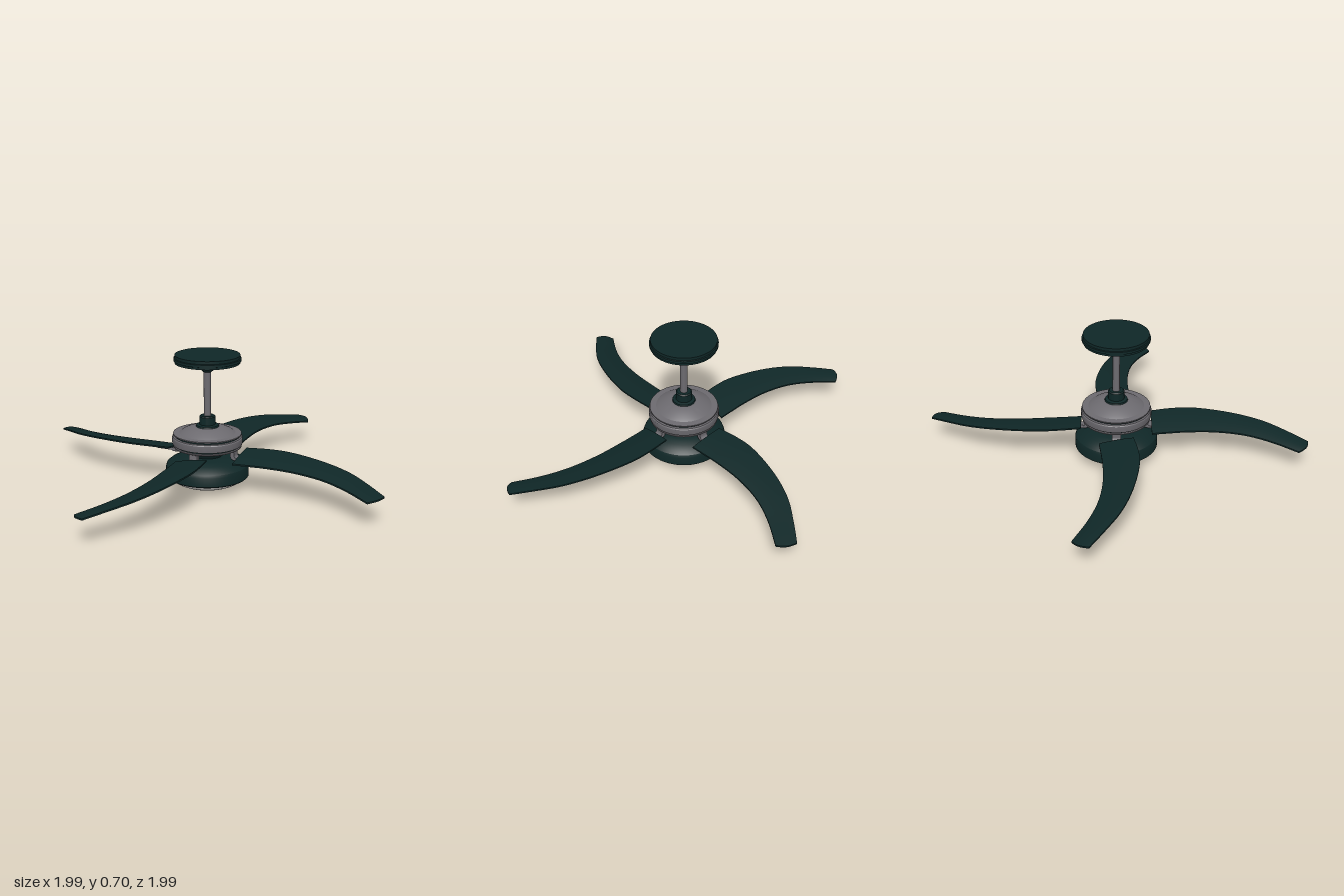
import * as THREE from 'three';
import { toCreasedNormals } from 'three/addons/utils/BufferGeometryUtils.js';

const paint = (name, color) => {
  const m = new THREE.MeshStandardMaterial({ color });
  m.name = name;
  return m;
};
const teal = paint('dark teal', 0x0f2727);
const metal = paint('grey metal', 0x6c6a6f);
const glass = paint('pale glass', 0xcbc9c6);

function mesh(name, geometry, material) {
  const m = new THREE.Mesh(geometry, material);
  m.name = name;
  return m;
}

// Turned part; profile is [radius, height] from bottom to top
function turned(name, profile, material) {
  const pts = profile.map(([r, y]) => new THREE.Vector2(r, y));
  return mesh(name, toCreasedNormals(new THREE.LatheGeometry(pts, 64), 0.5), material);
}

// Pitched, swept blade lofted between its two edge curves
function bladeGeometry() {
  const curve = (pts) => new THREE.CatmullRomCurve3(pts.map((p) => new THREE.Vector3(...p)));
  const rear = curve([[0.185, 0.203, -0.088], [0.3, 0.206, -0.108], [0.41, 0.205, -0.114], [0.62, 0.193, -0.077],
    [0.78, 0.177, -0.018], [0.9, 0.158, 0.058], [0.995, 0.14, 0.126]]);
  const front = curve([[0.185, 0.168, 0.09], [0.27, 0.169, 0.08], [0.353, 0.17, 0.072], [0.513, 0.167, 0.067],
    [0.674, 0.158, 0.088], [0.807, 0.144, 0.136], [0.936, 0.127, 0.206]]);
  const N = 28, M = 8, ring = 2 * (M + 1), pos = [], idx = [];
  for (let i = 0; i <= N; i++) {
    const t = i / N, a = rear.getPoint(t), b = front.getPoint(t);
    const tip = 0.016 * THREE.MathUtils.smoothstep(t, 0.8, 1);
    for (let k = 0; k < ring; k++) {
      const top = k <= M, v = top ? k / M : (ring - 1 - k) / M;
      const p = a.clone().lerp(b, v), s = Math.sin(Math.PI * v);
      pos.push(p.x + 0.78 * tip * s, p.y + 0.004 * s + (top ? 0.004 : -0.004), p.z + 0.62 * tip * s);
    }
  }
  for (let i = 0; i < N; i++) {
    for (let k = 0; k < ring; k++) {
      const a = i * ring + k, b = i * ring + (k + 1) % ring;
      idx.push(a, b, a + ring, b, b + ring, a + ring);
    }
  }
  // Root and tip caps
  for (let k = 0; k < M; k++) {
    const l = ring - 1 - k, e = N * ring;
    idx.push(k, l, k + 1, k + 1, l, l - 1);
    idx.push(e + k, e + k + 1, e + l, e + k + 1, e + l - 1, e + l);
  }
  const g = new THREE.BufferGeometry();
  g.setAttribute('position', new THREE.Float32BufferAttribute(pos, 3));
  g.setIndex(idx);
  return toCreasedNormals(g, 0.7);
}

// Hook that drops from the motor and turns outward
function hookGeometry() {
  const s = new THREE.Shape();
  s.moveTo(0.142, 0.225);
  s.lineTo(0.142, 0.19);
  s.quadraticCurveTo(0.142, 0.166, 0.168, 0.166);
  s.lineTo(0.195, 0.166);
  s.lineTo(0.195, 0.178);
  s.lineTo(0.178, 0.178);
  s.quadraticCurveTo(0.164, 0.18, 0.164, 0.194);
  s.lineTo(0.164, 0.225);
  const g = new THREE.ExtrudeGeometry(s, { depth: 0.046, bevelEnabled: false, curveSegments: 8 });
  return g.translate(0, 0, -0.023);
}

// Tapered plate carrying the blade from below
function plateGeometry() {
  const s = new THREE.Shape();
  s.moveTo(0, -0.024);
  s.lineTo(0.1, -0.034);
  s.quadraticCurveTo(0.128, 0, 0.1, 0.034);
  s.lineTo(0, 0.024);
  const g = new THREE.ExtrudeGeometry(s, { depth: 0.012, bevelEnabled: false, curveSegments: 8 });
  return g.rotateX(Math.PI / 2);
}

export function createModel() {
  const fan = new THREE.Group();
  fan.name = 'ceilingFan';

  // Ceiling mount and rod
  fan.add(
    turned('canopy', [[0, 0.615], [0.022, 0.615], [0.036, 0.628], [0.04, 0.645], [0.1, 0.652], [0.168, 0.662],
      [0.168, 0.673], [0.174, 0.675], [0.174, 0.688], [0.168, 0.69], [0.168, 0.705], [0, 0.705]], teal),
    turned('rod', [[0, 0.36], [0.019, 0.36], [0.019, 0.625], [0, 0.625]], metal),
    turned('rodCollar', [[0, 0.32], [0.062, 0.32], [0.058, 0.333], [0.042, 0.337], [0.042, 0.378], [0.036, 0.383],
      [0, 0.383]], teal),
  );

  // Motor with grooves above and below its band
  fan.add(
    turned('motor', [[0, 0.212], [0.165, 0.212], [0.178, 0.218], [0.178, 0.223], [0.168, 0.225], [0.168, 0.231],
      [0.182, 0.233], [0.184, 0.24], [0.184, 0.268], [0.18, 0.274], [0.168, 0.276], [0.168, 0.282], [0.178, 0.284],
      [0.178, 0.29], [0.145, 0.292], [0.13, 0.302], [0.1, 0.316], [0.075, 0.325], [0, 0.327]], metal),
  );
  for (const y of [0.228, 0.279]) {
    const band = turned('motorGroove', [[0.165, y - 0.003], [0.17, y - 0.003], [0.17, y + 0.003], [0.165, y + 0.003]], teal);
    fan.add(band);
  }

  // Lower housing and light
  fan.add(
    turned('neck', [[0, 0.16], [0.075, 0.16], [0.082, 0.18], [0.105, 0.205], [0.108, 0.214], [0, 0.214]], teal),
    turned('lightHousing', [[0, 0.058], [0.212, 0.058], [0.217, 0.063], [0.217, 0.11], [0.212, 0.124], [0.195, 0.138],
      [0.165, 0.153], [0.13, 0.165], [0.1, 0.169], [0, 0.169]], teal),
    turned('lightBowl', Array.from({ length: 13 }, (_, i) => {
      const a = (i / 12) * Math.PI / 2;
      return [0.192 * Math.sin(a), 0.06 - 0.06 * Math.cos(a)];
    }), glass),
  );

  // Four blades with their brackets
  const blade = bladeGeometry(), hook = hookGeometry(), plate = plateGeometry();
  for (let i = 0; i < 4; i++) {
    const arm = new THREE.Group();
    arm.name = 'bladeArm';
    const support = mesh('bladePlate', plate, metal);
    support.position.set(0.175, 0.18, 0);
    support.rotation.x = 0.2;
    arm.add(mesh('blade', blade, teal), mesh('bladeHook', hook, metal), support);
    arm.rotation.y = i * Math.PI / 2;
    fan.add(arm);
  }
  return fan;
}
